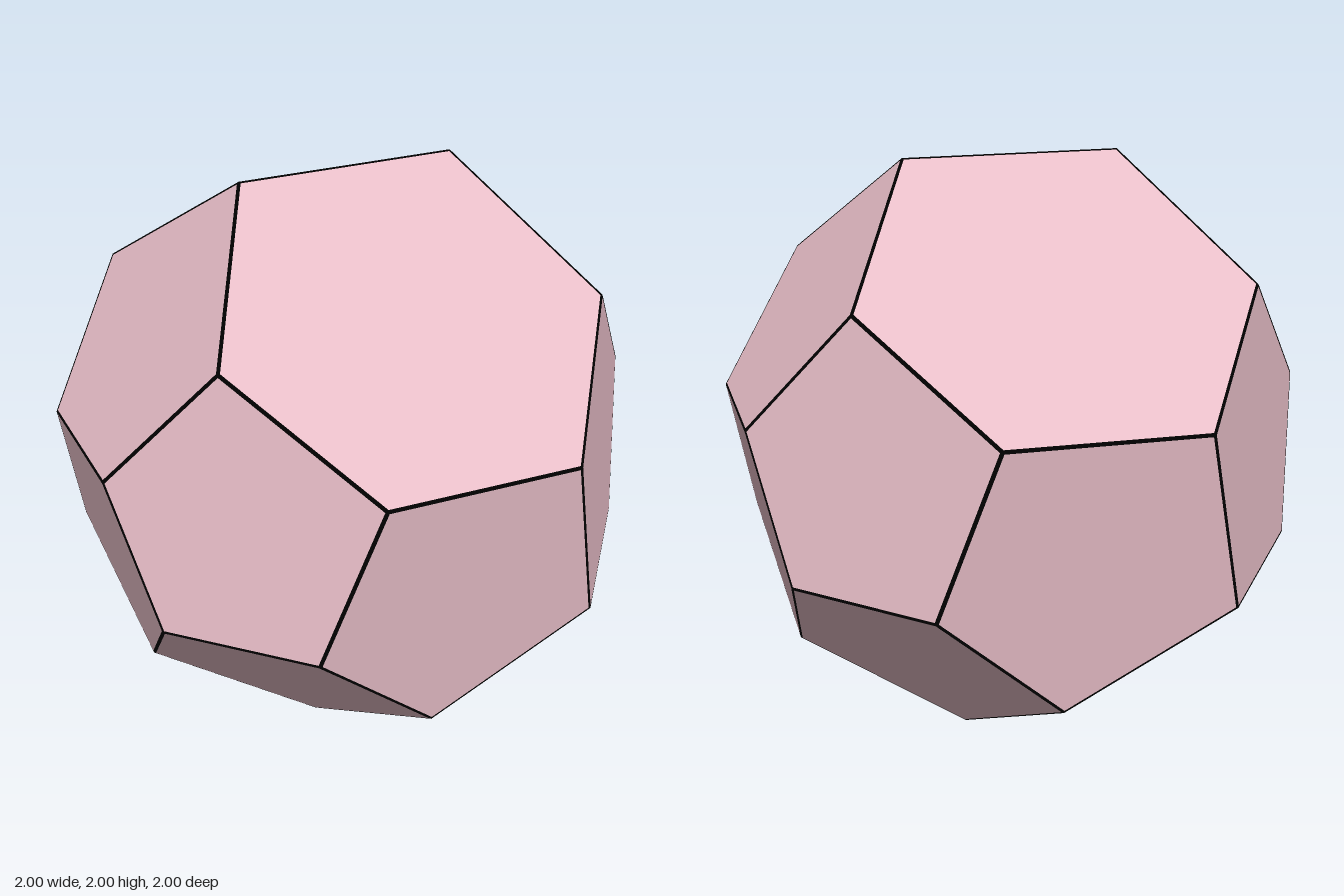
import * as THREE from 'three';

// The solid has three half-turn axes; each operation is a set of signs on x, y, z.
const TURNS = { i: [1, 1, 1], x: [1, -1, -1], y: [-1, 1, -1], z: [-1, -1, 1] };
const turn = (p, t) => p.map((v, k) => v * TURNS[t][k]);

// One corner of each kind, measured from the centre
const A = [0.347, 1, 0.142];
const B = [1, 0.232, 0.111];
const C = [-0.085, 0.316, 1];
const D = [0.411, 0.628, 0.731];
const E = [-0.662, 0.332, 0.732];
const F = [-0.8, 0.636, 0.218];
const G = [0.808, 0.214, 0.602];

// One face of each kind, corners counter-clockwise from outside
const FACES = {
  hexagon: [A, turn(A, 'y'), F, E, C, D],
  frontPentagon: [C, turn(C, 'z'), turn(E, 'z'), G, D],
  upperPentagon: [D, G, B, turn(F, 'y'), A],
  sidePentagon: [G, turn(E, 'z'), turn(F, 'z'), turn(B, 'x'), B],
};

const BORDER = 0.007; // width of the black border on each face

// Corners moved inward so that every side shifts by the border width
function inset(pts) {
  const n = pts.length;
  return pts.map((p, k) => {
    const u = pts[(k + 1) % n].clone().sub(p).normalize();
    const v = pts[(k + n - 1) % n].clone().sub(p).normalize();
    const sine = u.clone().cross(v).length();
    return u.add(v).multiplyScalar(BORDER / sine).add(p);
  });
}

// Flat polygon with a single shared normal: a filled middle (group 0) and a border (group 1)
function polygon(corners) {
  const outer = corners.map((c) => new THREE.Vector3(c[0], c[1] + 1, c[2]));
  const inner = inset(outer);
  const n = outer.length;
  const mid = new THREE.Vector3();
  outer.forEach((p) => mid.addScaledVector(p, 1 / n));

  const normal = new THREE.Vector3();
  const fill = [];
  const border = [];
  for (let k = 0; k < n; k++) {
    const j = (k + 1) % n;
    normal.add(outer[k].clone().sub(mid).cross(outer[j].clone().sub(mid)));
    fill.push(mid, inner[k], inner[j]);
    border.push(outer[k], outer[j], inner[j], outer[k], inner[j], inner[k]);
  }
  normal.normalize();

  const points = [...fill, ...border];
  const geometry = new THREE.BufferGeometry().setFromPoints(points);
  const normals = points.flatMap(() => normal.toArray());
  geometry.setAttribute('normal', new THREE.Float32BufferAttribute(normals, 3));
  geometry.addGroup(0, fill.length, 0);
  geometry.addGroup(fill.length, border.length, 1);
  return geometry;
}

function flatColour(name, color) {
  const material = new THREE.MeshStandardMaterial({ color });
  material.name = name;
  return material;
}

export function createModel() {
  const model = new THREE.Group();
  model.name = 'polyhedron';
  const materials = [flatColour('dusty pink', 0xe8bec8), flatColour('black', 0x000000)];

  // Four hexagons and twelve pentagons
  for (const [name, corners] of Object.entries(FACES)) {
    for (const t of Object.keys(TURNS)) {
      const face = new THREE.Mesh(polygon(corners.map((c) => turn(c, t))), materials);
      face.name = name;
      model.add(face);
    }
  }
  return model;
}
